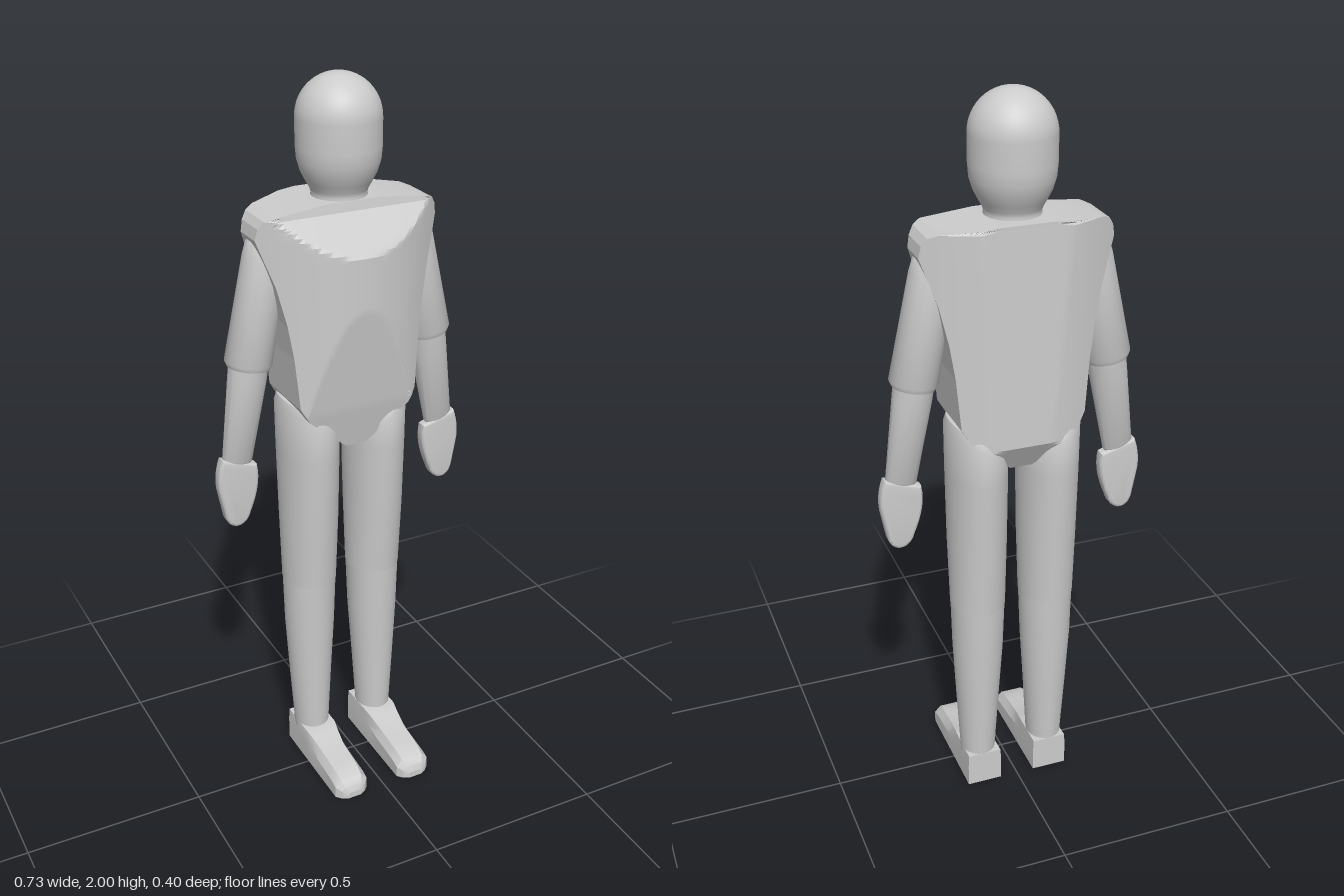
import * as THREE from 'three';
import { toCreasedNormals } from 'three/addons/utils/BufferGeometryUtils.js';

const material = new THREE.MeshStandardMaterial({ color: 0xcccccc });
const CZ = -0.08; // depth of the body's axis

function mesh(name, geometry) {
  const m = new THREE.Mesh(geometry, material);
  m.name = name;
  return m;
}

// Piecewise linear lookup in a list of [key, value], keys ascending
function lookup(table, t) {
  if (t <= table[0][0]) return table[0][1];
  for (let i = 1; i < table.length; i++) {
    const [a, va] = table[i - 1], [b, vb] = table[i];
    if (t <= b) return va + (vb - va) * (t - a) / (b - a);
  }
  return table[table.length - 1][1];
}

// Closed skin over rings of [x, y, z] with capped ends, wound outwards
function loft(rings, crease = 0.5) {
  const n = rings[0].length, pts = rings.flat(), idx = [];
  for (let r = 0; r < rings.length - 1; r++) {
    for (let i = 0; i < n; i++) {
      const a = r * n + i, b = r * n + (i + 1) % n;
      idx.push(a, b, b + n, a, b + n, a + n);
    }
  }
  [0, rings.length - 1].forEach((r) => {
    const mid = [0, 1, 2].map((k) => rings[r].reduce((s, p) => s + p[k], 0) / n);
    const c = pts.push(mid) - 1;
    for (let i = 0; i < n; i++) {
      const a = r * n + i, b = r * n + (i + 1) % n;
      if (r === 0) idx.push(c, b, a); else idx.push(c, a, b);
    }
  });
  // A negative volume means the faces point inwards
  const v = pts.map((p) => new THREE.Vector3(...p)), cross = new THREE.Vector3();
  let volume = 0;
  for (let i = 0; i < idx.length; i += 3) {
    volume += v[idx[i]].dot(cross.crossVectors(v[idx[i + 1]], v[idx[i + 2]]));
  }
  if (volume < 0) idx.reverse();
  const g = new THREE.BufferGeometry();
  g.setAttribute('position', new THREE.Float32BufferAttribute(pts.flat(), 3));
  g.setIndex(idx);
  return toCreasedNormals(g, crease);
}

// Limb from elliptical sections [x, y, z, radiusX, radiusZ, tilt]
function limb(sections, side) {
  return loft(sections.map(([x, y, z, rx, rz, tilt = 0]) =>
    Array.from({ length: 32 }, (_, i) => {
      const a = i / 32 * Math.PI * 2, dx = Math.cos(a) * rx;
      return [side * (x + dx), y + dx * tilt, z + Math.sin(a) * rz];
    })), 0.7);
}

// Lens-shaped plan, trimmed by the front, back and side outlines
function torso() {
  const width = [[1.03, 0.03], [1.13, 0.145], [1.17, 0.168], [1.31, 0.18], [1.4, 0.193], [1.5, 0.215],
    [1.62, 0.255], [1.65, 0.249], [1.67, 0.235], [1.68, 0.21], [1.695, 0.075]];
  const front = [[1.03, 0.015], [1.15, 0.04], [1.43, 0.08], [1.57, 0.08], [1.67, 0], [1.695, -0.005]];
  const back = [[1.03, -0.15], [1.11, -0.2], [1.69, -0.188]];
  const levels = new Set([...width, ...front, ...back].map((p) => p[0]));
  for (let y = 1.03; y < 1.69; y += 0.012) levels.add(y);
  const cols = 40;
  const rings = [...levels].sort((a, b) => a - b).map((y) => {
    const w = lookup(width, y), f = lookup(front, y), b = lookup(back, y), ring = [];
    for (let i = 0; i <= cols; i++) {
      const x = w * (2 * i / cols - 1);
      ring.push([x, y, Math.min(f, 0.08 - 1.75 * x * x)]);
    }
    for (let i = cols; i >= 0; i--) {
      const x = w * (2 * i / cols - 1);
      ring.push([x, y, Math.max(b, -0.205 + 1.3 * x * x)]);
    }
    return ring;
  });
  return loft(rings, 0.35);
}

// Domed head running down into the neck
function head() {
  const profile = [];
  for (let i = 0; i <= 14; i++) {
    const a = i / 14 * Math.PI / 2;
    profile.push(new THREE.Vector2(Math.sin(a) * 0.11, 1.89 + Math.cos(a) * 0.11));
  }
  [[0.11, 1.82], [0.107, 1.785], [0.098, 1.755], [0.085, 1.73], [0.075, 1.712], [0.072, 1.7], [0.076, 1.68]]
    .forEach(([r, y]) => profile.push(new THREE.Vector2(r, y)));
  return new THREE.LatheGeometry(profile.reverse(), 48).translate(0, 0, CZ);
}

// Flat mitten with rounded edges
function hand(side) {
  const s = new THREE.Shape();
  s.moveTo(side * 0.262, 0.985);
  s.lineTo(side * 0.348, 1.012);
  s.quadraticCurveTo(side * 0.362, 0.97, side * 0.357, 0.93);
  s.lineTo(side * 0.342, 0.85);
  s.quadraticCurveTo(side * 0.335, 0.824, side * 0.315, 0.824);
  s.quadraticCurveTo(side * 0.293, 0.826, side * 0.285, 0.855);
  s.quadraticCurveTo(side * 0.252, 0.93, side * 0.262, 0.985);
  const g = new THREE.ExtrudeGeometry(s, {
    depth: 0.02, bevelSize: 0.008, bevelThickness: 0.008, bevelSegments: 3, curveSegments: 8,
  });
  return toCreasedNormals(g.translate(0, 0, CZ - 0.01), 0.6);
}

// Foot from cross-sections [z, height, half width, half width of the top]
function foot(side) {
  const sections = [[-0.135, 0.1, 0.05, 0.048], [-0.02, 0.1, 0.05, 0.047], [0.01, 0.092, 0.05, 0.042],
    [0.06, 0.077, 0.05, 0.036], [0.12, 0.069, 0.05, 0.035], [0.155, 0.063, 0.05, 0.034],
    [0.18, 0.052, 0.05, 0.032], [0.195, 0.036, 0.036, 0.026], [0.203, 0.018, 0.02, 0.015]];
  return loft(sections.map(([z, h, w, t]) =>
    [[-w, 0], [-w, h * 0.65], [-t, h], [t, h], [w, h * 0.65], [w, 0]]
      .map(([x, y]) => [side * (0.1 + x), y, z])), 0.35);
}

export function createModel() {
  const model = new THREE.Group();
  model.name = 'figure';
  model.add(mesh('torso', torso()), mesh('head', head()));

  const upperArm = [[0.205, 1.637, CZ, 0.008, 0.008], [0.205, 1.628, CZ, 0.03, 0.032],
    [0.205, 1.605, CZ, 0.05, 0.052], [0.208, 1.57, CZ, 0.058, 0.059],
    [0.264, 1.285, CZ, 0.063, 0.06, 0.16], [0.265, 1.272, CZ, 0.057, 0.055, 0.16]];
  const forearm = [[0.262, 1.29, CZ, 0.052, 0.053, 0.16], [0.27, 1.235, CZ, 0.051, 0.05, 0.16],
    [0.306, 1.01, CZ, 0.042, 0.02, 0.2], [0.307, 0.995, CZ, 0.034, 0.014, 0.2]];
  const thigh = [[0.115, 1.145, CZ, 0.02, 0.04, 0.3], [0.11, 1.14, CZ, 0.05, 0.085, 0.45],
    [0.105, 1.127, CZ, 0.068, 0.108, 0.5], [0.101, 1.1, CZ, 0.079, 0.118, 0.5],
    [0.1, 1.0, CZ, 0.08, 0.113], [0.1, 0.8, CZ, 0.079, 0.099], [0.1, 0.595, -0.082, 0.075, 0.083]];
  const shin = [[0.1, 0.6, -0.082, 0.074, 0.082], [0.101, 0.45, -0.082, 0.07, 0.075],
    [0.102, 0.28, -0.08, 0.06, 0.066], [0.102, 0.08, -0.077, 0.048, 0.056]];

  for (const [label, side] of [['left', 1], ['right', -1]]) {
    const arm = new THREE.Group(), leg = new THREE.Group();
    arm.name = label + 'Arm';
    leg.name = label + 'Leg';
    arm.add(mesh('upperArm', limb(upperArm, side)), mesh('forearm', limb(forearm, side)), mesh('hand', hand(side)));
    leg.add(mesh('thigh', limb(thigh, side)), mesh('shin', limb(shin, side)), mesh('foot', foot(side)));
    model.add(arm, leg);
  }
  return model;
}
